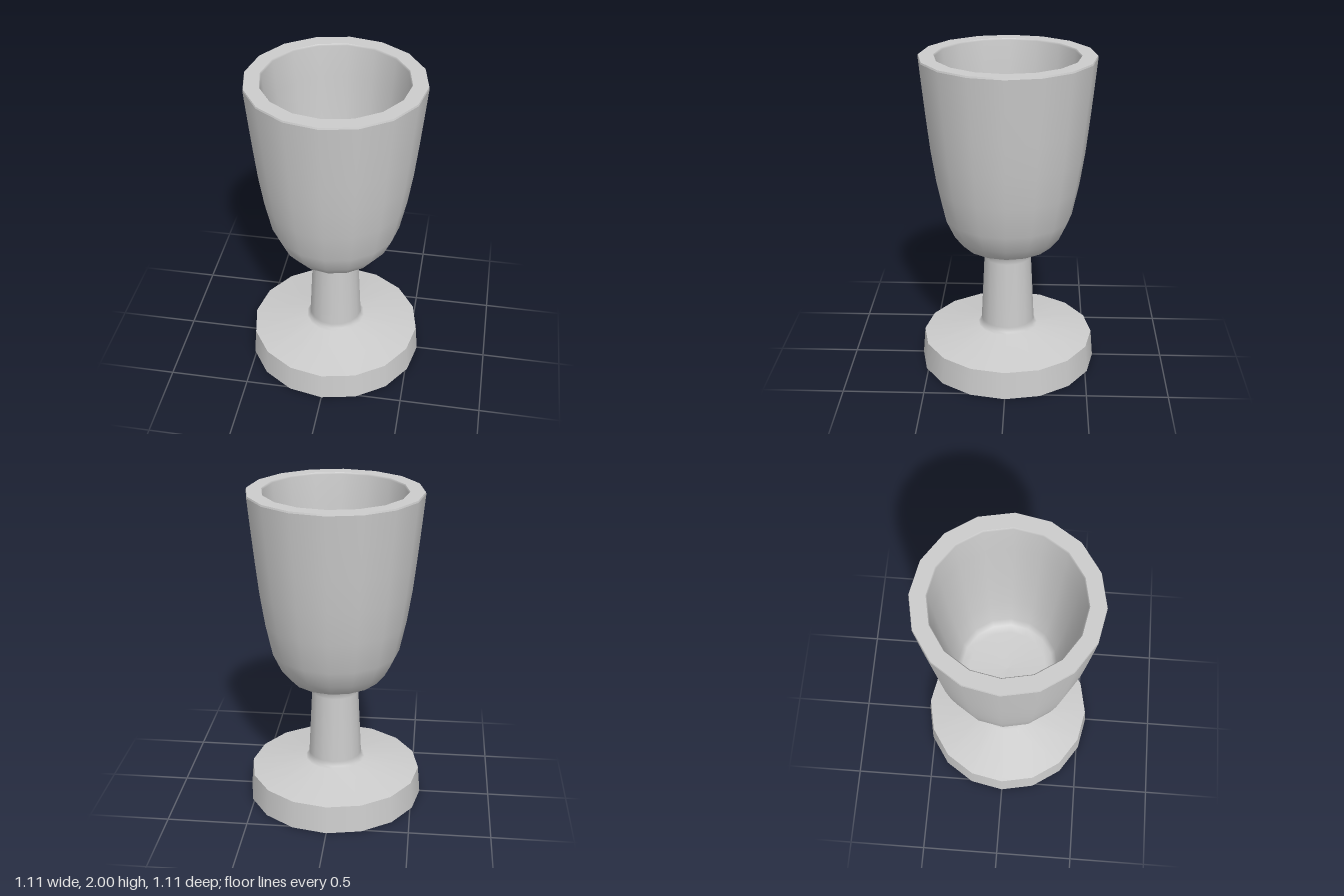
import * as THREE from 'three';

const SIDES = 16;

// Each lathe is smooth along its own profile; hard edges fall between parts.
function turned(name, profile, material) {
  const points = profile.map(([r, y]) => new THREE.Vector2(r, y));
  const mesh = new THREE.Mesh(new THREE.LatheGeometry(points, SIDES), material);
  mesh.name = name;
  return mesh;
}

export function createModel() {
  const group = new THREE.Group();
  group.name = 'goblet';
  const material = new THREE.MeshStandardMaterial({ color: 0xcccccc });

  const parts = {
    // flat underside and slightly tapered edge of the foot
    footUnderside: [[0, 0], [0.555, 0]],
    footEdge: [[0.555, 0], [0.54, 0.175]],
    // sloping foot top, stem and outer bowl flow into one another
    stemAndBowl: [
      [0.54, 0.175], [0.19, 0.238], [0.172, 0.248], [0.168, 0.28],
      [0.147, 0.71], [0.147, 0.74], [0.162, 0.762], [0.215, 0.778],
      [0.287, 0.812], [0.345, 0.885], [0.398, 1.0], [0.44, 1.2],
      [0.47, 1.4], [0.492, 1.6], [0.512, 1.8], [0.53, 1.99],
    ],
    // rim with a narrow outer bevel
    rimBevel: [[0.53, 1.99], [0.527, 2]],
    rim: [[0.527, 2], [0.437, 2]],
    // hollow interior, down to a softly rounded floor
    bowlInterior: [
      [0.437, 2], [0.43, 1.99], [0.412, 1.8], [0.394, 1.6], [0.372, 1.4],
      [0.345, 1.2], [0.31, 1.02], [0.285, 0.975], [0.24, 0.96], [0, 0.95],
    ],
  };
  for (const [name, profile] of Object.entries(parts)) {
    group.add(turned(name, profile, material));
  }
  return group;
}
